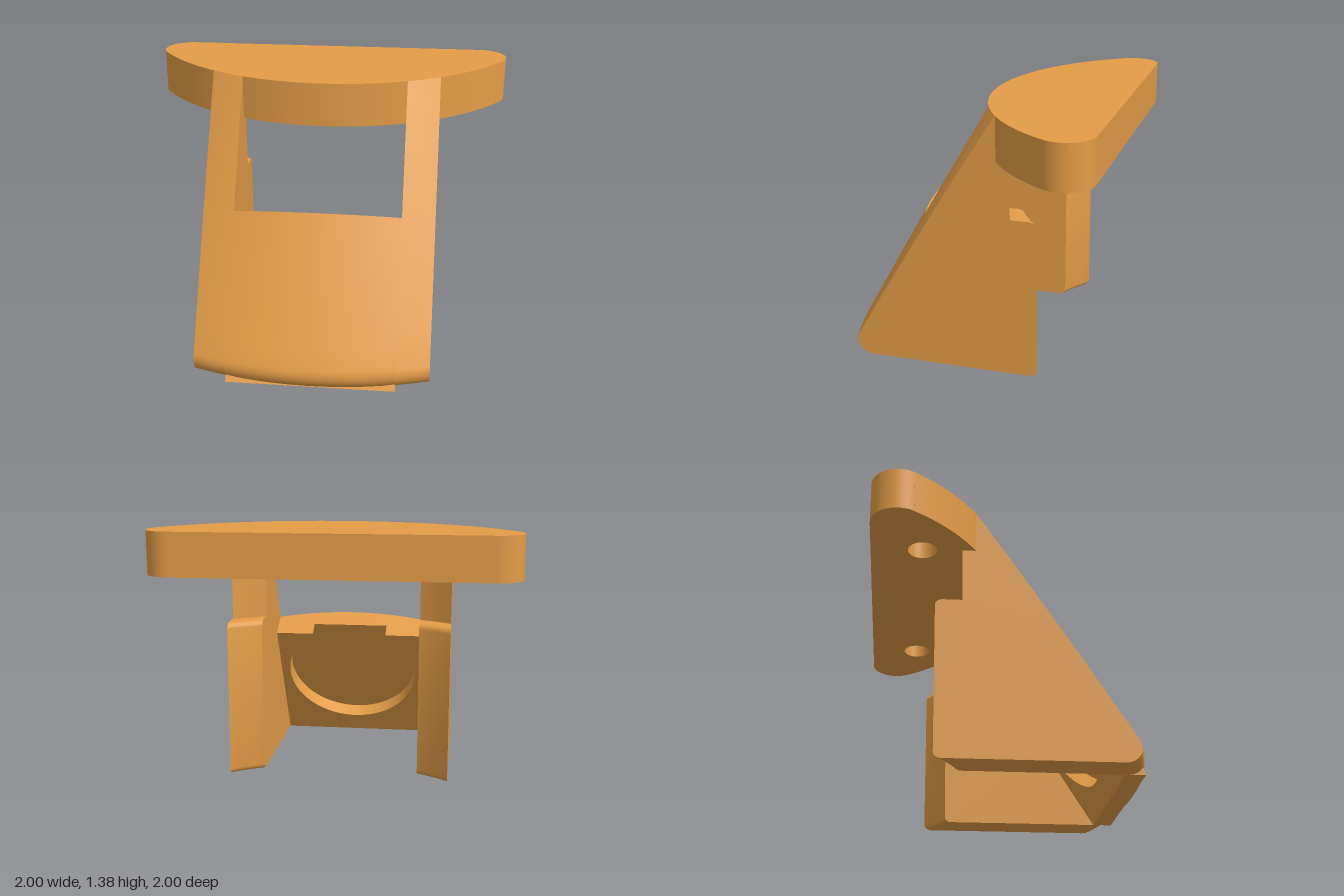
import * as THREE from 'three';
import { toCreasedNormals } from 'three/addons/utils/BufferGeometryUtils.js';

const material = new THREE.MeshStandardMaterial({ color: 0xe39c47 });

// All curved faces share one vertical axis at x = 0, z = AXIS (local frame, before the final turn).
const AXIS = -0.933, PLATE_R = 1.124, TOP = 1.38, PLATE_BOTTOM = 1.15;
const HALF_OUT = 0.6, HALF_IN = 0.43;
const TILT = Math.atan(0.6), C = Math.cos(TILT), S = Math.sin(TILT);
const PANEL_TOP = { z: 0.345, y: 0.70 }, RECESS_DEPTH = 0.086;

const coneRadius = (y) => PLATE_R + 0.565 * (TOP - y);
const onRadius = (r, y, x) => [AXIS + Math.sqrt(r * r - x * x), y];

// Rounded front toe, from the floor up to the sloping face
function toe(x) {
  const pts = [];
  for (let i = 0; i <= 8; i++) {
    const a = -Math.PI / 2 + (i / 8) * (Math.PI * 2 / 3);
    pts.push(onRadius(1.767 + 0.08 * Math.cos(a), 0.08 + 0.08 * Math.sin(a), x));
  }
  return pts;
}

// Sloping conical front between two heights
function slope(x, y0, y1) {
  const pts = [];
  for (let i = 1; i <= 8; i++) {
    const y = y0 + (y1 - y0) * i / 8;
    pts.push(onRadius(coneRadius(y), y, x));
  }
  return pts;
}

// Closed solid through (z, y) sections placed along x
function loft(x0, x1, steps, section) {
  const rings = [], pos = [];
  for (let i = 0; i <= steps; i++) {
    const x = x0 + (x1 - x0) * i / steps;
    rings.push(section(x).map(([z, y]) => [x, y, z]));
  }
  const n = rings[0].length;
  for (let i = 0; i < steps; i++) {
    for (let j = 0; j < n; j++) {
      const k = (j + 1) % n;
      const a0 = rings[i][j], b0 = rings[i][k], a1 = rings[i + 1][j], b1 = rings[i + 1][k];
      pos.push(...a0, ...b1, ...b0, ...a0, ...a1, ...b1);
    }
  }
  for (const [ring, flip] of [[rings[0], false], [rings[steps], true]]) {
    const contour = ring.map((p) => new THREE.Vector2(p[2], p[1]));
    for (const [a, b, c] of THREE.ShapeUtils.triangulateShape(contour, [])) {
      pos.push(...ring[a], ...ring[flip ? c : b], ...ring[flip ? b : c]);
    }
  }
  const geo = new THREE.BufferGeometry();
  geo.setAttribute('position', new THREE.Float32BufferAttribute(pos, 3));
  return geo;
}

// Side wall: sloping front, stepped back with small rounded corners
function wallSection(x) {
  const rear = 0.953, stepR = 1.065, stepY = 0.855, f = 0.03;
  const pts = [...toe(x), ...slope(x, 0.12, TOP)];
  pts.push(onRadius(stepR, TOP, x), onRadius(stepR, stepY, x));
  for (const [cy, start] of [[stepY - f, Math.PI / 2], [f, Math.PI]]) {
    for (let i = 0; i <= 4; i++) {
      const a = start + (i / 4) * Math.PI / 2;
      pts.push(onRadius(rear + f + f * Math.cos(a), cy + f * Math.sin(a), x));
    }
  }
  return pts;
}

// Front panel: conical outside, flat tilted inside, top cut square to the tilt
function panelSection(x) {
  const at = (t) => [PANEL_TOP.z + C * t, PANEL_TOP.y + S * t];
  let lo = 0, hi = 0.5;
  for (let i = 0; i < 30; i++) {
    const t = (lo + hi) / 2, [z, y] = at(t);
    if (z < onRadius(coneRadius(y), y, x)[0]) lo = t; else hi = t;
  }
  const inner = at(RECESS_DEPTH);
  return [
    [inner[0] + inner[1] * S / C, 0],
    ...toe(x), ...slope(x, 0.12, at(lo)[1]),
    inner,
  ];
}

// Inner layer of the panel with a round recess open at the top edge
function recessLayer() {
  const bottom = -0.817, r = 0.38, cy = -0.313;
  const a = Math.acos(0.215 / r);
  const shape = new THREE.Shape();
  shape.moveTo(-HALF_IN, bottom);
  shape.lineTo(HALF_IN, bottom);
  shape.lineTo(HALF_IN, 0);
  shape.lineTo(0.215, 0);
  shape.absarc(0, cy, r, a, Math.PI - a, true);
  shape.lineTo(-HALF_IN, 0);
  const geo = new THREE.ExtrudeGeometry(shape, { depth: RECESS_DEPTH, bevelEnabled: false, curveSegments: 48 });
  // Trim the lower edge level with the floor
  const p = geo.attributes.position;
  for (let i = 0; i < p.count; i++) {
    if (p.getY(i) < bottom + 0.001) p.setY(i, -(PANEL_TOP.y + S * p.getZ(i)) / C);
  }
  geo.rotateX(-TILT);
  geo.translate(0, PANEL_TOP.y, PANEL_TOP.z);
  return geo;
}

// Top plate outline: straight back, round ends, broad curved front
function plateOutline() {
  const cx = 0.82, cz = -0.39, r = 0.14;
  const a = Math.atan2(cz - AXIS, cx);
  const shape = new THREE.Shape();
  shape.moveTo(-cx, cz - r);
  shape.absarc(cx, cz, r, -Math.PI / 2, a, false);
  shape.absarc(0, AXIS, PLATE_R, a, Math.PI - a, false);
  shape.absarc(-cx, cz, r, Math.PI - a, Math.PI * 1.5, false);
  return shape;
}

function plateLayer(shape, top, depth) {
  const geo = new THREE.ExtrudeGeometry(shape, { depth, bevelEnabled: false, curveSegments: 32 });
  geo.rotateX(Math.PI / 2);
  geo.translate(0, top, 0);
  return geo;
}

export function createModel() {
  const model = new THREE.Group();
  model.name = 'angledStand';
  const body = new THREE.Group();
  body.name = 'standBody';
  body.rotation.y = -Math.PI / 4;
  model.add(body);

  const add = (name, geo) => {
    const mesh = new THREE.Mesh(toCreasedNormals(geo, 0.5), material);
    mesh.name = name;
    body.add(mesh);
  };

  // Side walls
  add('leftWall', loft(HALF_IN, HALF_OUT, 6, wallSection));
  add('rightWall', loft(-HALF_OUT, -HALF_IN, 6, wallSection));

  // Front panel and its recessed inside
  add('frontPanel', loft(-HALF_IN, HALF_IN, 24, panelSection));
  add('recessedInnerPanel', recessLayer());

  // Top plate, with two blind holes in the underside
  const split = 1.30;
  add('topPlate', plateLayer(plateOutline(), TOP, TOP - split));
  const drilled = plateOutline();
  for (const side of [-1, 1]) {
    const hole = new THREE.Path();
    hole.absarc(side * 0.585, -0.26, 0.076, 0, Math.PI * 2, true);
    drilled.holes.push(hole);
  }
  add('drilledPlateUnderside', plateLayer(drilled, split, split - PLATE_BOTTOM));

  return model;
}
